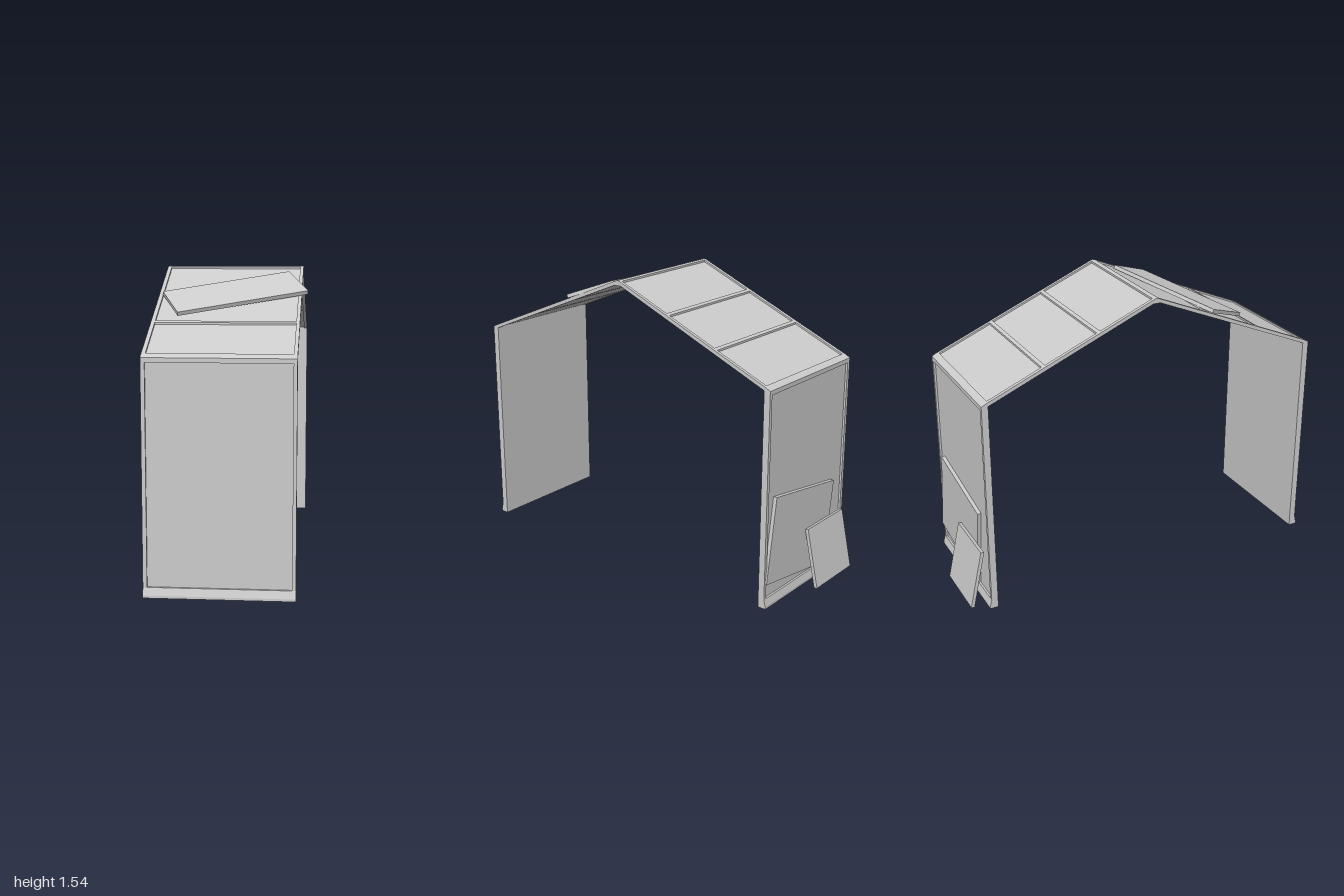
import * as THREE from 'three';

const X0 = -0.38, X1 = 0.345;      // outer sides of the frame
const IN0 = -0.36, IN1 = 0.327;    // inner sides of the side rails
const RIDGE_Z = 0.045;

const material = new THREE.MeshStandardMaterial({ color: 0xcccccc, flatShading: true });

// Roof surface heights at distance d from the ridge
const top = (d) => 1.541 - 0.418 * d;
const under = (d) => 1.5205 - 0.418 * d;

export function createModel() {
  const model = new THREE.Group();

  // Extrudes a cross-section of [distance from ridge, height] along x
  function bar(parent, name, side, points, x0, x1) {
    const shape = new THREE.Shape(points.map(([d, y]) => new THREE.Vector2(RIDGE_Z + side * d, y)));
    const geometry = new THREE.ExtrudeGeometry(shape, { depth: x1 - x0, bevelEnabled: false });
    geometry.rotateY(-Math.PI / 2).translate(x1, 0, 0);
    const mesh = new THREE.Mesh(geometry, material);
    mesh.name = name;
    parent.add(mesh);
  }

  // Sloped strip of roof between two distances from the ridge
  const strip = (a, b, dropTop = 0, raise = 0) => [
    [a, top(a) - dropTop], [b, top(b) - dropTop], [b, under(b) + raise], [a, under(a) + raise],
  ];

  const foot = [[0.945, 0.05], [0.955, 0.012], [0.955, 0], [0.91, 0]];
  const eave = [[0.925, top(0.925)], [0.945, 1.143]];
  const openings = [[0.015, 0.305], [0.323, 0.603], [0.621, 0.91]];

  for (const side of [1, -1]) {
    const half = new THREE.Group();
    half.name = side > 0 ? 'frontHalf' : 'backHalf';
    model.add(half);

    // Side rails follow the whole wall and roof section
    const section = [[0, 1.539], [0.01, top(0.01)], ...eave, ...foot,
      [0.91, under(0.91)], [0.02, under(0.02)], [0, 1.512]];
    bar(half, 'leftRail', side, section, IN1, X1);
    bar(half, 'rightRail', side, section, X0, IN0);

    // Cross members between the rails
    bar(half, 'ridgeBeam', side, [[0, 1.539], [0.01, top(0.01)], [0.015, top(0.015)], [0.015, 1.512], [0, 1.512]], IN0, IN1);
    bar(half, 'eaveBeam', side, [[0.91, top(0.91)], ...eave, [0.945, 1.12], [0.91, 1.12]], IN0, IN1);
    bar(half, 'baseBeam', side, [...foot, [0.91, 0.05]], IN0, IN1);
    bar(half, 'upperRib', side, strip(0.305, 0.323), IN0, IN1);
    bar(half, 'lowerRib', side, strip(0.603, 0.621), IN0, IN1);

    // Recessed panels
    for (const [a, b] of openings) bar(half, 'roofPanel', side, strip(a, b, 0.01, 0.004), IN0, IN1);
    bar(half, 'wallPanel', side, [[0.91, 0.05], [0.934, 0.05], [0.934, 1.12], [0.91, 1.12]], IN0, IN1);
  }

  function board(name, size, position, rotation) {
    const mesh = new THREE.Mesh(new THREE.BoxGeometry(...size), material);
    mesh.name = name;
    mesh.position.set(...position);
    mesh.rotation.set(...rotation);
    model.add(mesh);
  }

  // Loose boards: one across the roof, two against the back wall
  board('roofBoard', [0.685, 0.02, 0.272], [0.008, 1.412, 0.38], [0.367, 0.4, 0]);
  board('wallBoard', [0.543, 0.455, 0.02], [0.038, 0.318, -0.9], [0, 0, 0.15]);
  board('leaningBoard', [0.335, 0.321, 0.018], [-0.167, 0.16, -0.954], [0.215, 0, 0]);

  return model;
}
